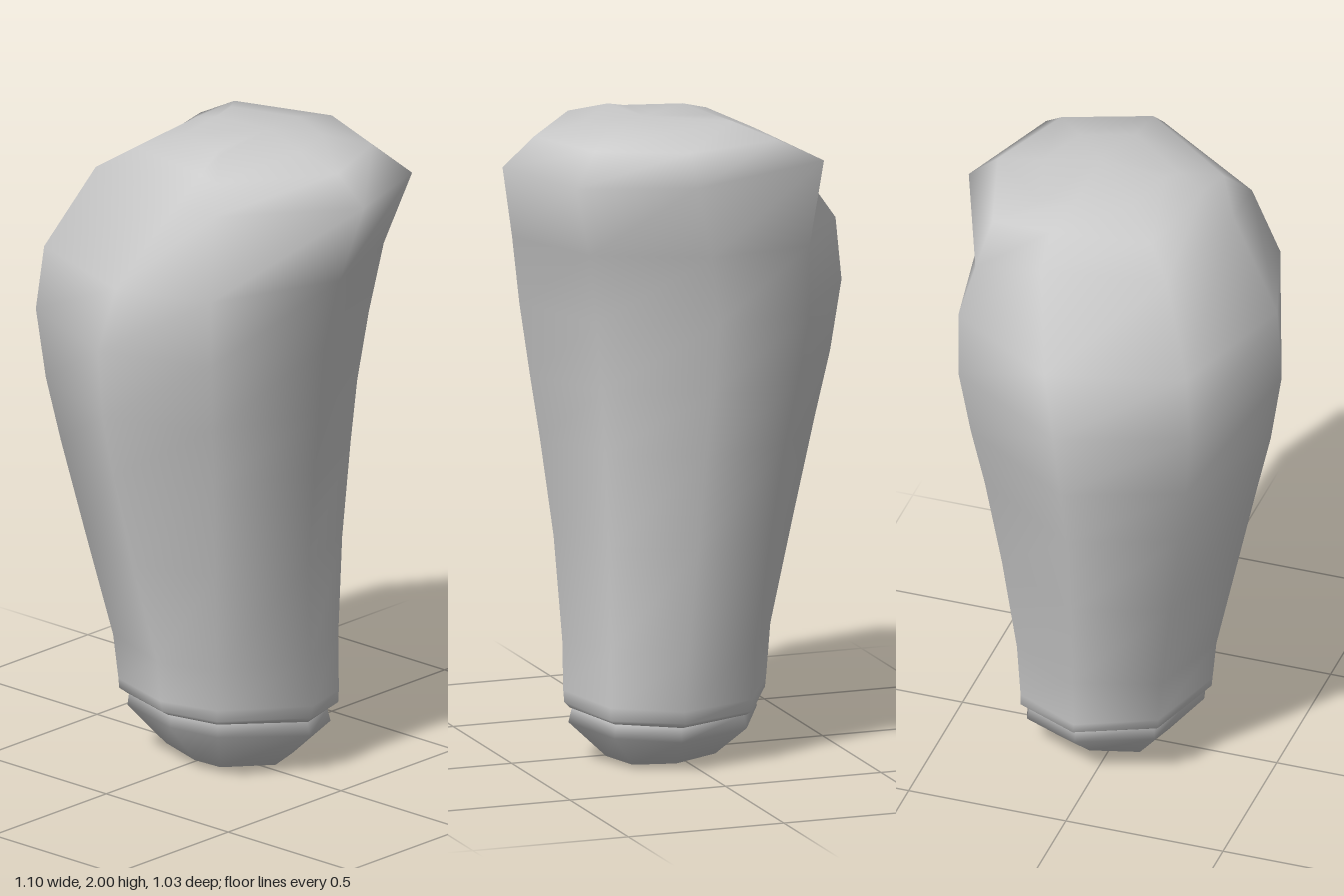
import * as THREE from 'three';

const AXIS = THREE.MathUtils.degToRad(43); // heading of the overhanging lip

// Turns lip-axis coordinates (u along the lip, v across) into model space,
// on a slightly oval section
function place(u, v, y) {
  const c = Math.cos(AXIS), s = Math.sin(AXIS);
  return [(u * c - v * s) * 1.03, y, -(u * s + v * c) * 0.97];
}

// Eight-sided ring: lip height, heel height, lip reach, heel reach,
// lip shoulder, heel shoulder, half width on the near and far side,
// then the far corner's place along the lip and the sideways tilt
function ring([yLip, yHeel, lip, heel, ls, hs, w, w2, { corner = 0.02 + 0.1 * w2, roll = 0 } = {}]) {
  const bv = 0.65 * w2, bu = 1.414 * ls - bv;
  const dv = 0.75 * w, du = 1.414 * hs - dv;
  const pts = [
    [lip, 0], [bu, bv], [corner, w2], [-du, dv],
    [-heel, 0], [-du, -dv], [0.02 - 0.12 * w, -w], [bu, -bv],
  ];
  return pts.map(([u, v]) =>
    place(u, v, yHeel + (yLip - yHeel) * (u + heel) / (lip + heel) - roll * v));
}

// Skins the rings from bottom to top and closes both ends with a fan
function loft(name, sections, bottom, top) {
  const n = 8, pos = [], idx = [];
  sections.forEach((s) => ring(s).forEach((p) => pos.push(...p)));
  const last = (sections.length - 1) * n;
  const lo = last + n, hi = lo + 1;
  pos.push(...place(...bottom), ...place(...top));
  for (let j = 0; j < n; j++) {
    const k = (j + 1) % n;
    for (let r = 0; r < last; r += n) {
      idx.push(r + j, r + k, r + n + k, r + j, r + n + k, r + n + j);
    }
    idx.push(lo, k, j, hi, last + j, last + k);
  }
  const geo = new THREE.BufferGeometry();
  geo.setAttribute('position', new THREE.Float32BufferAttribute(pos, 3));
  geo.setIndex(idx);
  geo.computeVertexNormals();
  const mesh = new THREE.Mesh(geo, new THREE.MeshStandardMaterial({ color: 0xcccccc }));
  mesh.name = name;
  return mesh;
}

export function createModel() {
  const group = new THREE.Group();
  group.name = 'handleGrip';
  const tilt = { roll: 0.07 };

  // Tapered plug under the grip, with a slightly tilted foot
  group.add(loft('basePlug', [
    [0.005, 0.035, 0.22, 0.16, 0.2, 0.15, 0.18, 0.18],
    [0.11, 0.155, 0.335, 0.275, 0.322, 0.263, 0.29, 0.29, tilt],
    [0.15, 0.195, 0.325, 0.27, 0.312, 0.255, 0.28, 0.28, tilt],
    [0.18, 0.22, 0.325, 0.27, 0.312, 0.255, 0.28, 0.28, tilt],
  ], [0.03, 0, 0.01], [0.03, 0, 0.2]));

  // Main grip: slim neck, bulging heel, flared lip and low domed crown
  group.add(loft('gripBody', [
    [0.155, 0.195, 0.335, 0.278, 0.318, 0.268, 0.29, 0.29, tilt],
    [0.17, 0.21, 0.358, 0.3, 0.332, 0.29, 0.31, 0.31, tilt],
    [0.21, 0.24, 0.36, 0.302, 0.337, 0.295, 0.31, 0.31, tilt],
    [0.38, 0.38, 0.358, 0.318, 0.336, 0.308, 0.322, 0.322],
    [0.7, 0.7, 0.37, 0.4, 0.355, 0.387, 0.37, 0.37],
    [1.0, 1.0, 0.395, 0.475, 0.393, 0.458, 0.425, 0.425],
    [1.2, 1.2, 0.415, 0.52, 0.42, 0.505, 0.47, 0.47],
    [1.42, 1.42, 0.45, 0.55, 0.45, 0.537, 0.51, 0.51],
    [1.64, 1.62, 0.495, 0.525, 0.483, 0.505, 0.52, 0.51],
    [1.865, 1.875, 0.58, 0.37, 0.53, 0.325, 0.43, 0.5, { corner: -0.04 }],
    [1.955, 1.94, 0.46, 0.25, 0.43, 0.225, 0.34, 0.4],
    [1.985, 1.985, 0.31, 0.1, 0.28, 0.11, 0.2, 0.24],
  ], [0.03, 0, 0.17], [0.15, 0, 2.0]));

  return group;
}
